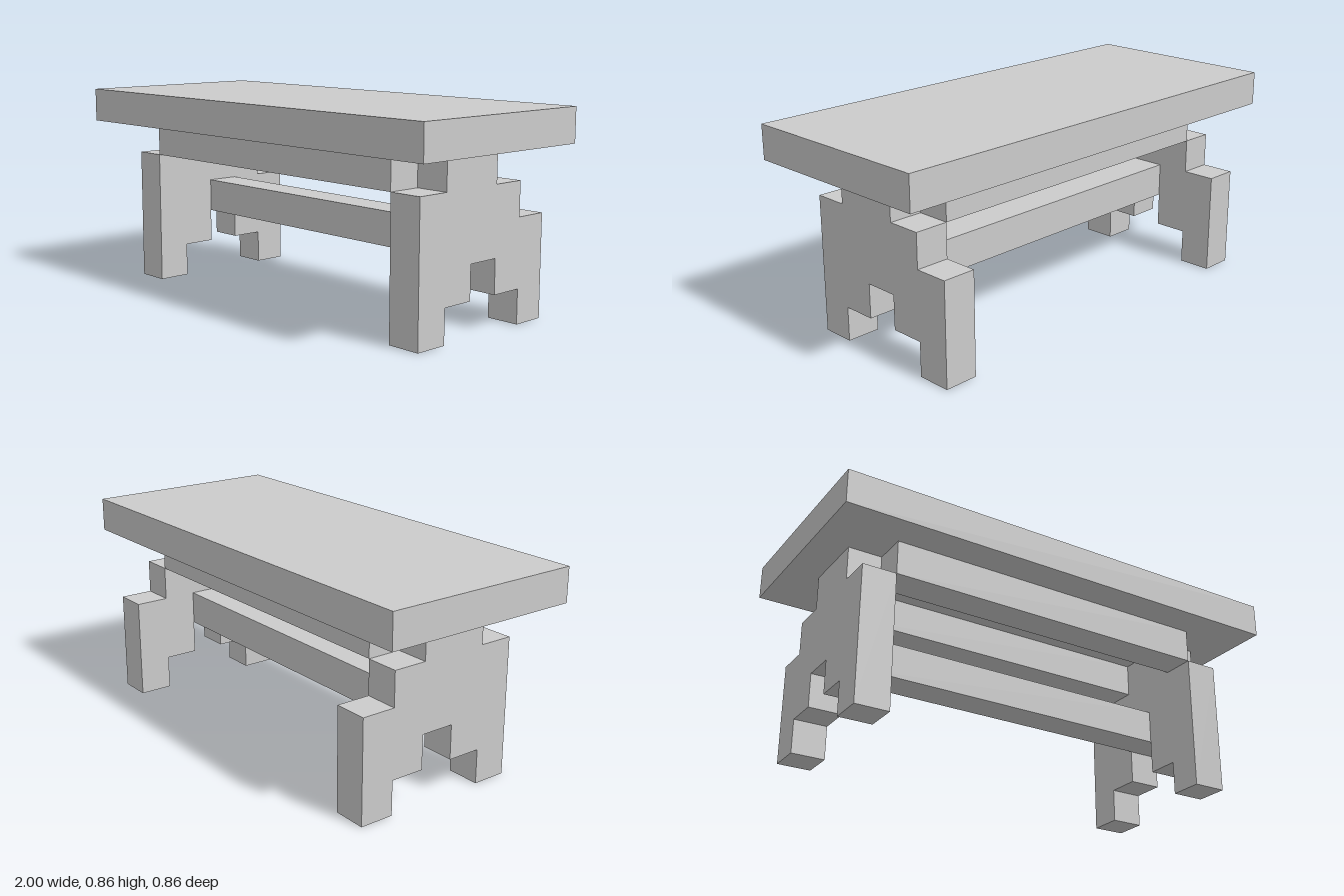
import * as THREE from 'three';

const U = 1 / 7; // the whole table sits on a grid of this unit
const material = new THREE.MeshStandardMaterial({ color: 0xcccccc, flatShading: true });

// Box given by its minimum and maximum corners in grid units
function block(name, min, max) {
  const size = max.map((v, i) => (v - min[i]) * U);
  const mesh = new THREE.Mesh(new THREE.BoxGeometry(...size), material);
  mesh.position.set(...max.map((v, i) => (v + min[i]) * U / 2));
  mesh.name = name;
  return mesh;
}

// Stepped end frame: side outline as [z, y], one unit thick along x
const FRAME = [
  [2, 0], [1, 0], [1, 1], [0, 1], [0, 2], [-1, 2], [-1, 1], [-2, 1], [-2, 0],
  [-3, 0], [-3, 3], [-2, 3], [-2, 4], [-1, 4], [-1, 5], [1, 5], [1, 4], [2, 4],
];

function legFrame(name, x) {
  const shape = new THREE.Shape(FRAME.map(([z, y]) => new THREE.Vector2(-z * U, y * U)));
  const geometry = new THREE.ExtrudeGeometry(shape, { depth: U, bevelEnabled: false });
  geometry.rotateY(Math.PI / 2);
  const mesh = new THREE.Mesh(geometry, material);
  mesh.position.x = x * U;
  mesh.name = name;
  return mesh;
}

export function createModel() {
  const table = new THREE.Group();
  table.name = 'table';
  table.add(
    block('tabletop', [-7, 5, -3], [7, 6, 3]),
    // Rails under the top
    block('frontRail', [-5, 4, 1], [5, 5, 2]),
    block('backRail', [-5, 4, -2], [5, 5, -1]),
    // Low bar joining the end frames
    block('stretcher', [-5, 2, -1], [5, 3, 0]),
    legFrame('leftLegFrame', 5),
    legFrame('rightLegFrame', -6),
  );
  return table;
}
